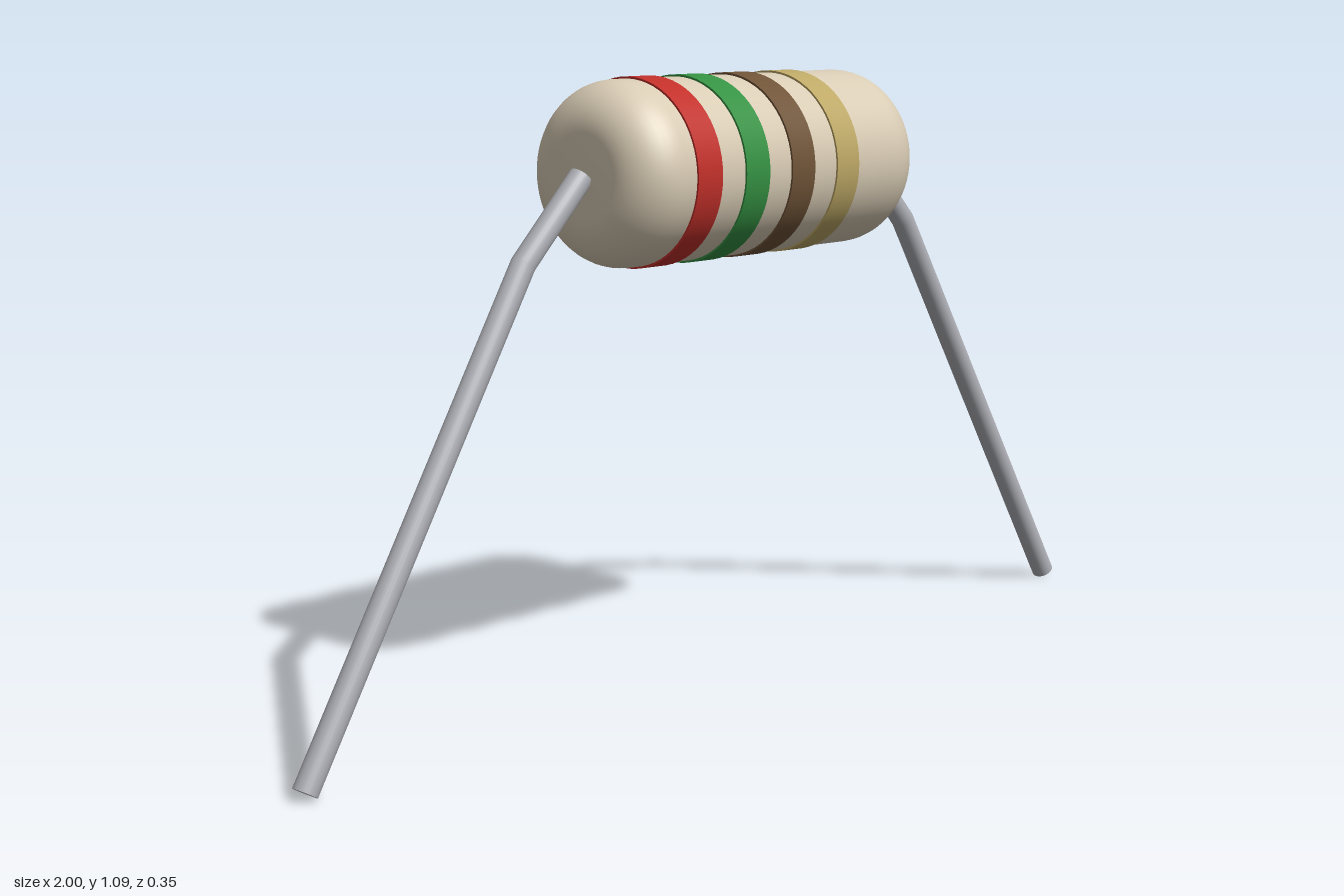
import * as THREE from 'three';

const material = (name, color) => {
  const m = new THREE.MeshStandardMaterial({ color });
  m.name = name;
  return m;
};

// Wire through three points with a mitred bend and capped ends
function bentWire(points, radius) {
  const [p0, p1, p2] = points.map((p) => new THREE.Vector3(...p));
  const d0 = p1.clone().sub(p0).normalize();
  const d1 = p2.clone().sub(p1).normalize();
  const binormal = d0.clone().cross(d1).normalize();
  const mid = d0.clone().add(d1).normalize();
  const frames = [[p0, d0, 1], [p1, mid, 1 / mid.dot(d0)], [p2, d1, 1]].map(([p, d, stretch]) => {
    const axis = d.clone().negate();
    return { p, axis, side: axis.clone().cross(binormal), stretch };
  });
  const geo = new THREE.CylinderGeometry(radius, radius, 2, 24, 2);
  const pos = geo.attributes.position;
  const nor = geo.attributes.normal;
  for (let i = 0; i < pos.count; i++) {
    const f = frames[Math.round(1 - pos.getY(i))];
    const v = f.p.clone()
      .addScaledVector(f.side, pos.getX(i) * f.stretch)
      .addScaledVector(binormal, pos.getZ(i));
    const n = new THREE.Vector3()
      .addScaledVector(f.side, nor.getX(i))
      .addScaledVector(f.axis, nor.getY(i))
      .addScaledVector(binormal, nor.getZ(i));
    pos.setXYZ(i, v.x, v.y, v.z);
    nor.setXYZ(i, n.x, n.y, n.z);
  }
  return geo;
}

export function createModel() {
  const model = new THREE.Group();
  model.name = 'resistor';
  const add = (parent, name, geo, mat) => {
    const mesh = new THREE.Mesh(geo, mat);
    mesh.name = name;
    parent.add(mesh);
    return mesh;
  };

  // Barrel group, turned slightly about the vertical
  const barrel = new THREE.Group();
  barrel.name = 'barrel';
  barrel.position.set(0, 0.927, 0.001);
  barrel.rotation.y = -0.056;
  model.add(barrel);

  // Ceramic body: cylinder with rounded ends
  const half = 0.37, radius = 0.16, fillet = 0.085;
  const profile = [new THREE.Vector2(0, -half)];
  for (const end of [-1, 1]) {
    for (let i = 0; i <= 10; i++) {
      const a = (end < 0 ? i - 10 : i) / 10 * Math.PI / 2;
      profile.push(new THREE.Vector2(
        radius - fillet + fillet * Math.cos(a),
        end * (half - fillet) + fillet * Math.sin(a)));
    }
  }
  profile.push(new THREE.Vector2(0, half));
  const bodyGeo = new THREE.LatheGeometry(profile, 64).rotateZ(-Math.PI / 2);
  add(barrel, 'body', bodyGeo, material('beige', 0xd9ccb5));

  // Colour bands, slightly proud of the body
  const bands = [
    ['red', 0xc2302a, -0.23],
    ['green', 0x359243, -0.109],
    ['brown', 0x705438, 0.011],
    ['gold', 0xbda866, 0.133],
  ];
  for (const [name, color, x] of bands) {
    const geo = new THREE.CylinderGeometry(0.1635, 0.1635, 0.06, 64).rotateZ(-Math.PI / 2);
    add(barrel, name + 'Band', geo, material(name, color)).position.x = x;
  }

  // Bent wire leads
  const metal = material('leadMetal', 0xaeafb5);
  add(model, 'leftLead', bentWire(
    [[0.372, 0.927, 0.018], [0.505, 0.792, 0.026], [0.981, 0.011, 0.068]], 0.0215), metal);
  add(model, 'rightLead', bentWire(
    [[-0.372, 0.927, -0.02], [-0.505, 0.792, -0.029], [-0.981, 0.011, -0.056]], 0.0215), metal);

  return model;
}
